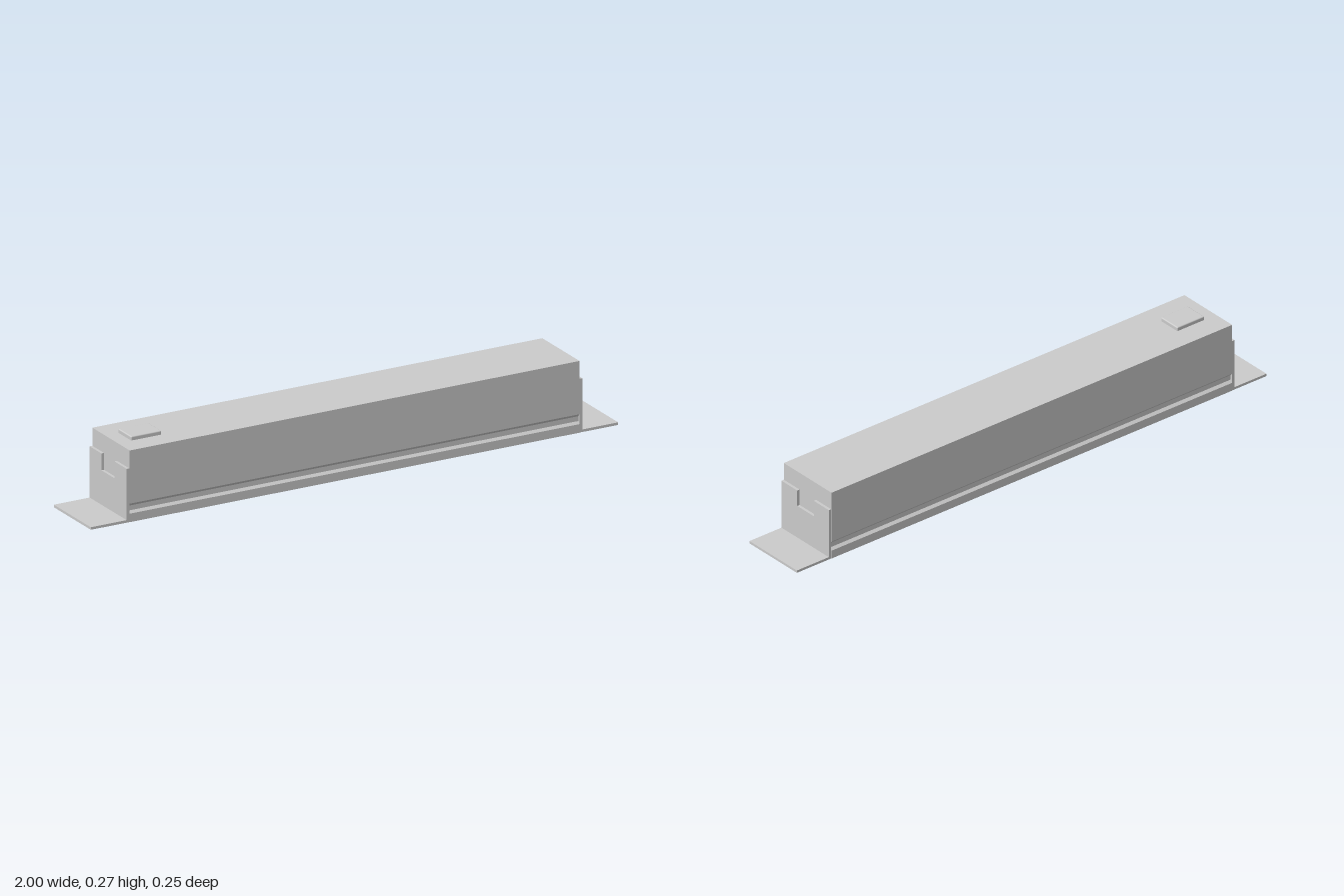
import * as THREE from 'three';
import { RoundedBoxGeometry } from 'three/addons/geometries/RoundedBoxGeometry.js';

const HALF = 0.853; // half length of the housing
const WALL = 0.005;

// Half of the channel section, bottom to top, as [z, y]; a shallow groove runs along the side.
const side = [[0.124, 0], [0.124, 0.03], [0.115, 0.038], [0.115, 0.055], [0.124, 0.065], [0.124, 0.252]];

function section(inset) {
  const half = side.map(([z, y], i) => [z - inset, i === side.length - 1 ? y - inset : y]);
  return [...half, ...half.slice().reverse().map(([z, y]) => [-z, y])].map((p) => new THREE.Vector2(...p));
}

// Extrudes a (z, y) outline along x, centred on the given x.
function extrudeX(points, length, x) {
  const geo = new THREE.ExtrudeGeometry(new THREE.Shape(points), { depth: length, bevelEnabled: false });
  geo.translate(0, 0, -length / 2);
  geo.rotateY(Math.PI / 2);
  geo.translate(x, 0, 0);
  return geo;
}

export function createModel() {
  const group = new THREE.Group();
  const material = new THREE.MeshStandardMaterial({ color: 0xcccccc });
  const add = (name, geo, parent = group) => {
    const mesh = new THREE.Mesh(geo, material);
    mesh.name = name;
    parent.add(mesh);
    return mesh;
  };

  // Hollow channel, open underneath
  const outer = section(0);
  add('housing', extrudeX([...outer, ...section(WALL).reverse()], 2 * (HALF - WALL), 0));

  // Raised cover near one end of the top
  add('topCover', new RoundedBoxGeometry(0.115, 0.022, 0.086, 2, 0.004)).position.set(-0.745, 0.255, 0.002);

  // Notched upright of the mounting bracket
  const upright = [
    [-0.123, 0], [0.123, 0], [0.123, 0.189], [0.045, 0.189],
    [0.045, 0.13], [-0.041, 0.13], [-0.041, 0.189], [-0.123, 0.189],
  ].map((p) => new THREE.Vector2(...p));

  for (const s of [1, -1]) {
    const end = new THREE.Group();
    end.name = s > 0 ? 'leftEnd' : 'rightEnd';
    group.add(end);
    add('endWall', extrudeX(outer, WALL, s * (HALF - WALL / 2)), end);
    add('bracketUpright', extrudeX(upright, 0.01, s * (HALF + 0.006)), end);
    // Flat foot reaching out from the upright
    const foot = new THREE.BoxGeometry(1 - HALF - 0.011, 0.009, 0.246);
    add('bracketFoot', foot, end).position.set(s * (1 + HALF + 0.011) / 2, 0.0045, 0);
  }
  return group;
}
